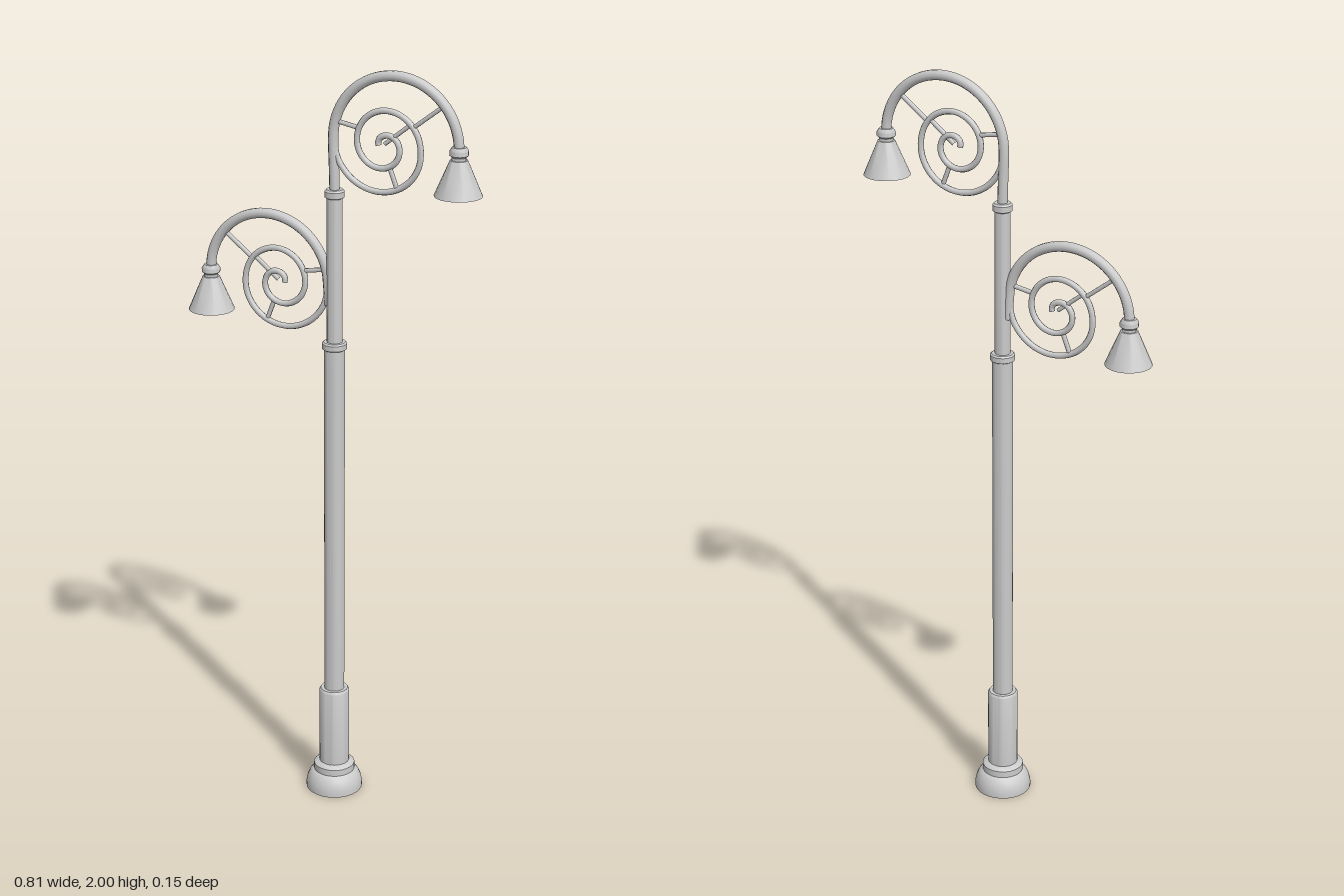
import * as THREE from 'three';
import { toCreasedNormals } from 'three/addons/utils/BufferGeometryUtils.js';

const material = new THREE.MeshStandardMaterial({ color: 0xcccccc });
const shadeMaterial = new THREE.MeshStandardMaterial({ color: 0xcccccc, side: THREE.DoubleSide });

function add(parent, name, geometry, mat = material) {
  const mesh = new THREE.Mesh(geometry, mat);
  mesh.name = name;
  parent.add(mesh);
  return mesh;
}

// Turned part from [radius, height] pairs
function turned(profile, sides) {
  const points = profile.map(([r, y]) => new THREE.Vector2(r, y));
  return toCreasedNormals(new THREE.LatheGeometry(points, sides), 0.6);
}

// Round bar along a list of [x, y] points
function bar(points, radius, segments, sides = 8) {
  const path = new THREE.CatmullRomCurve3(points.map(([x, y]) => new THREE.Vector3(x, y, 0)));
  return new THREE.TubeGeometry(path, segments, radius, sides);
}

const ARC = 0.168;

// Curved arm with scrollwork and lamp; origin is the centre of the arc, the lamp hangs on +x
function createArm(name, stem) {
  const arm = new THREE.Group();
  arm.name = name;

  // Main bracket: stem, half circle, short drop to the lamp
  const arc = [...stem];
  for (let i = 0; i <= 16; i++) {
    const a = Math.PI * (1 - i / 16);
    arc.push([ARC * Math.cos(a), ARC * Math.sin(a)]);
  }
  add(arm, 'bracket', bar(arc, 0.013, 48, 10));

  // Scroll: radius at every quarter turn, winding inwards from the bracket
  const radii = [0.137, 0.117, 0.098, 0.087, 0.072, 0.057, 0.041, 0.025, 0.014];
  const spiral = [];
  for (let i = 0; i <= (radii.length - 1) * 4; i++) {
    const q = Math.floor(i / 4);
    const r = THREE.MathUtils.lerp(radii[q], radii[q + 1] ?? radii[q], (i % 4) / 4);
    const a = Math.PI + (i * Math.PI) / 8;
    spiral.push([-0.031 + r * Math.cos(a), -0.007 + r * Math.sin(a)]);
  }
  add(arm, 'scroll', bar(spiral, 0.008, 110));

  // Struts tying the scroll together
  const struts = [
    [[0.122, 0.104], [0.047, 0.046]],
    [[0.037, 0.05], [-0.028, -0.002]],
    [[-0.163, 0.042], [-0.095, 0.03]],
    [[0.006, -0.114], [-0.014, -0.062]],
  ];
  for (const ends of struts) add(arm, 'strut', bar(ends, 0.006, 1, 6));

  // Lamp: collar and open conical shade
  const collar = turned([[0, 0.012], [0.018, 0.012], [0.024, 0.003], [0.024, -0.008],
    [0.018, -0.013], [0.018, -0.03]].reverse(), 12);
  add(arm, 'lampCollar', collar).position.x = ARC;
  const shade = turned([[0.06, -0.109], [0.022, -0.02], [0, -0.02]], 20);
  add(arm, 'lampShade', shade, shadeMaterial).position.x = ARC;
  return arm;
}

export function createModel() {
  const model = new THREE.Group();
  model.name = 'streetLamp';

  const column = new THREE.Group();
  column.name = 'column';
  column.position.x = 0.01;
  model.add(column);

  // Base and pedestal
  add(column, 'base', turned([
    [0, 0], [0.076, 0], [0.076, 0.014], [0.073, 0.028], [0.067, 0.042], [0.059, 0.052],
    [0.055, 0.054], [0.055, 0.072], [0.048, 0.078], [0.04, 0.08],
    [0.04, 0.294], [0.036, 0.3], [0.026, 0.3],
  ], 28));

  // Lower and upper shafts with their collars
  add(column, 'lowerShaft', turned([
    [0.027, 0.29], [0.027, 1.266], [0.032, 1.269], [0.032, 1.283], [0.028, 1.287], [0.018, 1.287],
  ], 20));
  add(column, 'upperShaft', turned([
    [0.02, 1.28], [0.02, 1.664], [0.025, 1.667], [0.025, 1.682], [0.021, 1.687], [0, 1.687],
  ], 20));

  // Upper arm on the left, lower arm on the right
  const upper = createArm('upperArm', [[-0.164, -0.14], [-0.166, -0.07]]);
  upper.position.set(0.174, 1.819, 0);
  model.add(upper);
  const lower = createArm('lowerArm', [[-0.172, -0.05]]);
  lower.position.set(-0.176, 1.433, 0);
  lower.rotation.y = Math.PI;
  model.add(lower);

  return model;
}
